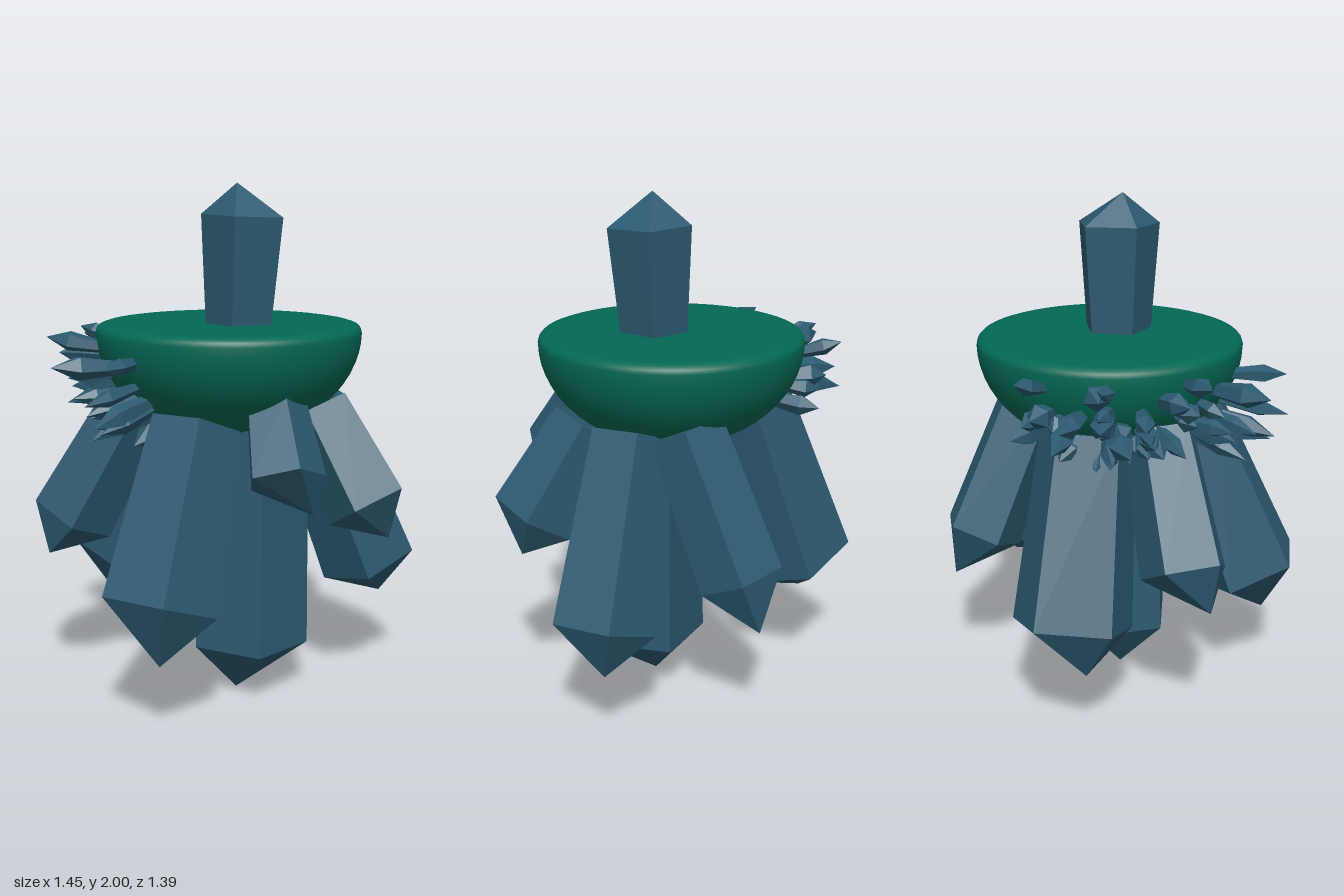
import * as THREE from 'three';

const V = (p) => new THREE.Vector3(...p);
const BOWL = { x: 0.015, y: 1.44, z: 0.03, r: 0.512, depth: 0.4 };

// Pointed prism: base ring -> shoulder ring -> tip. "out" fixes where angle 0 of the rings lies.
function crystalGeometry(base, shoulder, tip, rBase, rShoulder, turn, out, sides = 5) {
  const axis = shoulder.clone().sub(base).normalize();
  const v = out.clone().addScaledVector(axis, -out.dot(axis)).normalize();
  const u = v.clone().cross(axis);
  const ring = (centre, r) => Array.from({ length: sides }, (_, i) => {
    const t = Math.PI / 2 + THREE.MathUtils.degToRad(turn) + (i / sides) * Math.PI * 2;
    return centre.clone().addScaledVector(u, r * Math.cos(t)).addScaledVector(v, r * Math.sin(t));
  });
  const a = ring(base, rBase), b = ring(shoulder, rShoulder), tri = [];
  for (let i = 0; i < sides; i++) {
    const j = (i + 1) % sides;
    tri.push(a[i], a[j], b[j], a[i], b[j], b[i], b[i], b[j], tip, base, a[j], a[i]);
  }
  const g = new THREE.BufferGeometry().setFromPoints(tri);
  g.computeVertexNormals();
  return g;
}

// Small seeded generator for the cluster
function seeded(seed) {
  return () => {
    seed = (seed * 16807) % 2147483647;
    return seed / 2147483647;
  };
}

export function createModel() {
  const model = new THREE.Group();
  const crystalBlue = new THREE.MeshStandardMaterial({ color: 0x2c5a70, flatShading: true });
  crystalBlue.name = 'crystalBlue';
  const bowlGreen = new THREE.MeshStandardMaterial({ color: 0x036853 });
  bowlGreen.name = 'bowlGreen';

  const add = (name, geometry, material, parent = model) => {
    const mesh = new THREE.Mesh(geometry, material);
    mesh.name = name;
    parent.add(mesh);
    return mesh;
  };

  // Bowl: half ellipsoid with a softly rounded rim
  const profile = [];
  for (let i = 0; i <= 16; i++) {
    const t = (i / 16) * Math.PI / 2;
    profile.push(new THREE.Vector2(BOWL.r * Math.sin(t), BOWL.y - BOWL.depth * Math.cos(t)));
  }
  for (const [r, y] of [[0.508, 1.456], [0.498, 1.467], [0.48, 1.473], [0.46, 1.476], [0, 1.478]]) {
    profile.push(new THREE.Vector2(r, y));
  }
  add('bowl', new THREE.LatheGeometry(profile, 56), bowlGreen).position.set(BOWL.x, 0, BOWL.z);

  // Large crystals: name, base, shoulder, tip, base radius, shoulder radius, turn
  const large = [
    ['topCrystal', [0.02, 1.42, 0.095], [0.03, 1.88, 0.11], [0, 2, 0.1], 0.13, 0.165, 20],
    ['centreCrystal', [0.05, 1.2, 0.13], [0.035, 0.21, 0.135], [0, 0, 0.1], 0.22, 0.235, 28],
    ['frontRightCrystal', [-0.26, 1.13, 0.18], [-0.5, 0.5, 0.28], [-0.54, 0.3, 0.34], 0.17, 0.22, 44],
    ['frontLeftCrystal', [0.3, 1.15, 0.17], [0.56, 0.48, 0.27], [0.64, 0.32, 0.26], 0.16, 0.2, 36],
    ['backCrystal', [-0.06, 1.16, -0.26], [-0.12, 0.475, -0.475], [-0.2, 0.3, -0.51], 0.19, 0.24, 19],
    ['backRightCrystal', [-0.3, 1.18, -0.14], [-0.5, 0.72, -0.305], [-0.61, 0.58, -0.31], 0.14, 0.17, 56],
    ['backLeftCrystal', [0.33, 1.18, -0.03], [0.46, 0.64, -0.24], [0.55, 0.46, -0.31], 0.15, 0.165, 22],
    ['frontSmallCrystal', [-0.03, 1.2, 0.36], [-0.085, 0.95, 0.49], [0.02, 0.81, 0.53], 0.12, 0.15, 10],
    ['frontMediumCrystal', [0.21, 1.16, 0.34], [0.285, 0.81, 0.545], [0.35, 0.68, 0.59], 0.14, 0.17, 17],
  ];
  large.forEach(([name, base, shoulder, tip, rb, rs, turn], i) => {
    const out = i < 2 ? new THREE.Vector3(0, 0, 1) : V([shoulder[0], 0, shoulder[2]]);
    add(name, crystalGeometry(V(base), V(shoulder), V(tip), rb, rs, turn, out), crystalBlue);
  });

  // Cluster of little crystals fanning out of the bowl's back right side
  const cluster = new THREE.Group();
  cluster.name = 'crystalCluster';
  model.add(cluster);
  const rand = seeded(421);
  const spread = (w) => (rand() * 2 - 1) * w;
  const heights = [1.37, 1.31, 1.25, 1.19, 1.14, 1.28, 1.2, 1.16];
  const clumps = [[1, 0.23], [20, 0.17], [38, 0.19], [54, 0.14], [69, 0.21], [85, 0.14]];
  for (const [deg, length] of clumps) {
    const centre = THREE.MathUtils.degToRad(deg);
    heights.forEach((h) => {
      const offset = THREE.MathUtils.degToRad(spread(9));
      const t = centre + offset;
      const y = h + spread(0.025);
      const r = BOWL.r * Math.sqrt(1 - ((BOWL.y - y) / BOWL.depth) ** 2) - 0.02;
      const base = new THREE.Vector3(BOWL.x - Math.cos(t) * r, y, BOWL.z - Math.sin(t) * r);
      const t2 = centre + offset * 2.2 + spread(0.2);
      const dir = new THREE.Vector3(-Math.cos(t2), (y - 1.3) * 2 + spread(0.15), -Math.sin(t2)).normalize();
      const len = (length + 0.03) * (0.7 + rand() * 0.45);
      const shoulder = base.clone().addScaledVector(dir, len * 0.6);
      const tip = base.clone().addScaledVector(dir, len);
      const fat = 0.032 + rand() * 0.018;
      add('clusterCrystal', crystalGeometry(base, shoulder, tip, fat * 0.6, fat, rand() * 72,
        new THREE.Vector3(0, 1, 0)), crystalBlue, cluster);
    });
  }
  return model;
}
